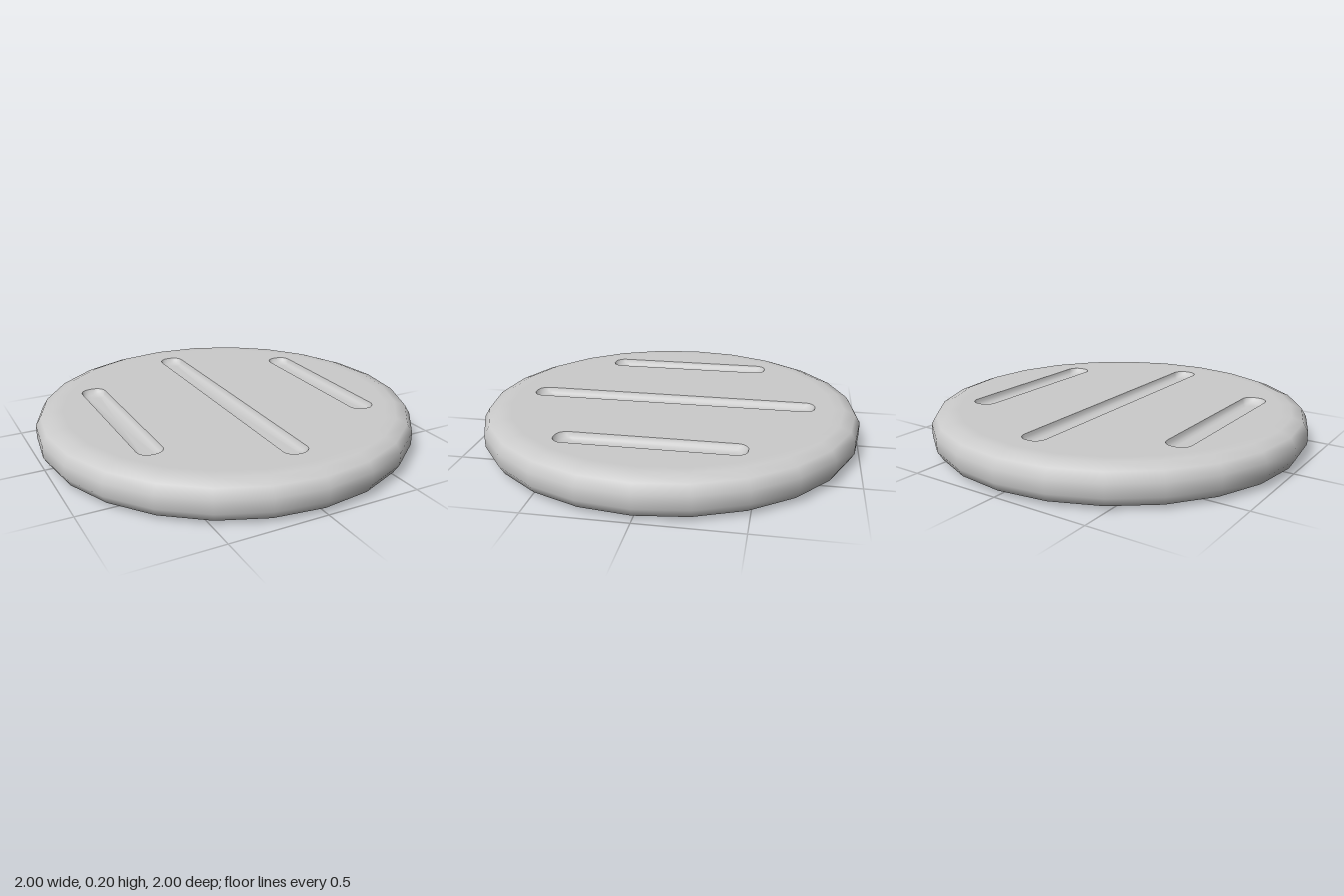
import * as THREE from 'three';

const SIDES = 24, HEIGHT = 0.2, FLAT_RADIUS = 0.86;
const material = new THREE.MeshStandardMaterial({ color: 0xcccccc });

// Groove centre x and half length; all share one half width
const HALF_WIDTH = 0.065;
const GROOVES = [[-0.6, 0.465], [0, 0.765], [0.6, 0.465]];

// Groove wall steps: side inset, end inset, depth, corner radius
const STEPS = [
  [0, 0, 0, 0.055],
  [0.004, 0.008, 0.014, 0.052],
  [0.013, 0.025, 0.027, 0.045],
  [0.03, 0.055, 0.035, 0.033],
];

// Rounded rectangle outline as counter-clockwise points
function outline(cx, hw, hl, r) {
  const points = [];
  const corners = [[1, 1], [-1, 1], [-1, -1], [1, -1]];
  corners.forEach(([sx, sy], c) => {
    for (let i = 0; i <= 6; i++) {
      const a = (c + i / 6) * Math.PI / 2;
      points.push(new THREE.Vector2(
        cx + sx * (hw - r) + r * Math.cos(a),
        sy * (hl - r) + r * Math.sin(a)));
    }
  });
  return points;
}

// Sunken groove made from nested outlines, closed by a flat floor
function grooveGeometry(cx, halfLength) {
  const positions = [], index = [];
  let n = 0;
  for (const [side, end, depth, r] of STEPS) {
    const ring = outline(cx, HALF_WIDTH - side, halfLength - end, r);
    n = ring.length;
    ring.forEach(p => positions.push(p.x, -depth, -p.y));
  }
  const last = (STEPS.length - 1) * n, centre = STEPS.length * n;
  positions.push(cx, -STEPS[STEPS.length - 1][2], 0);
  for (let i = 0; i < n; i++) {
    const j = (i + 1) % n;
    for (let k = 0; k < last; k += n) {
      index.push(k + i, k + j, k + n + j, k + i, k + n + j, k + n + i);
    }
    index.push(last + i, last + j, centre);
  }
  const geometry = new THREE.BufferGeometry();
  geometry.setAttribute('position', new THREE.Float32BufferAttribute(positions, 3));
  geometry.setIndex(index);
  geometry.computeVertexNormals();
  return geometry;
}

function addMesh(parent, name, geometry) {
  const mesh = new THREE.Mesh(geometry, material);
  mesh.name = name;
  parent.add(mesh);
}

// Flat face with three grooves pressed into it
function createFace(name) {
  const face = new THREE.Group();
  face.name = name;
  const circle = [];
  for (let i = 0; i < SIDES; i++) {
    const a = i / SIDES * Math.PI * 2;
    circle.push(new THREE.Vector2(Math.cos(a), Math.sin(a)).multiplyScalar(FLAT_RADIUS));
  }
  const shape = new THREE.Shape(circle);
  for (const [x, halfLength] of GROOVES) {
    shape.holes.push(new THREE.Path(outline(x, HALF_WIDTH, halfLength, STEPS[0][3]).reverse()));
    addMesh(face, 'groove', grooveGeometry(x, halfLength));
  }
  addMesh(face, 'flatSurface', new THREE.ShapeGeometry(shape).rotateX(-Math.PI / 2));
  return face;
}

export function createModel() {
  const model = new THREE.Group();
  model.name = 'groovedDisc';

  // Rounded rim
  const half = [[FLAT_RADIUS, 0], [0.915, 0], [0.973, 0.022], [1, 0.067]];
  const profile = [
    ...half.map(([r, y]) => new THREE.Vector2(r, y)),
    ...half.map(([r, y]) => new THREE.Vector2(r, HEIGHT - y)).reverse(),
  ];
  addMesh(model, 'rim', new THREE.LatheGeometry(profile, SIDES));

  // Matching faces above and below
  const top = createFace('topFace');
  top.position.y = HEIGHT;
  const bottom = createFace('bottomFace');
  bottom.rotation.x = Math.PI;
  model.add(top, bottom);
  return model;
}
